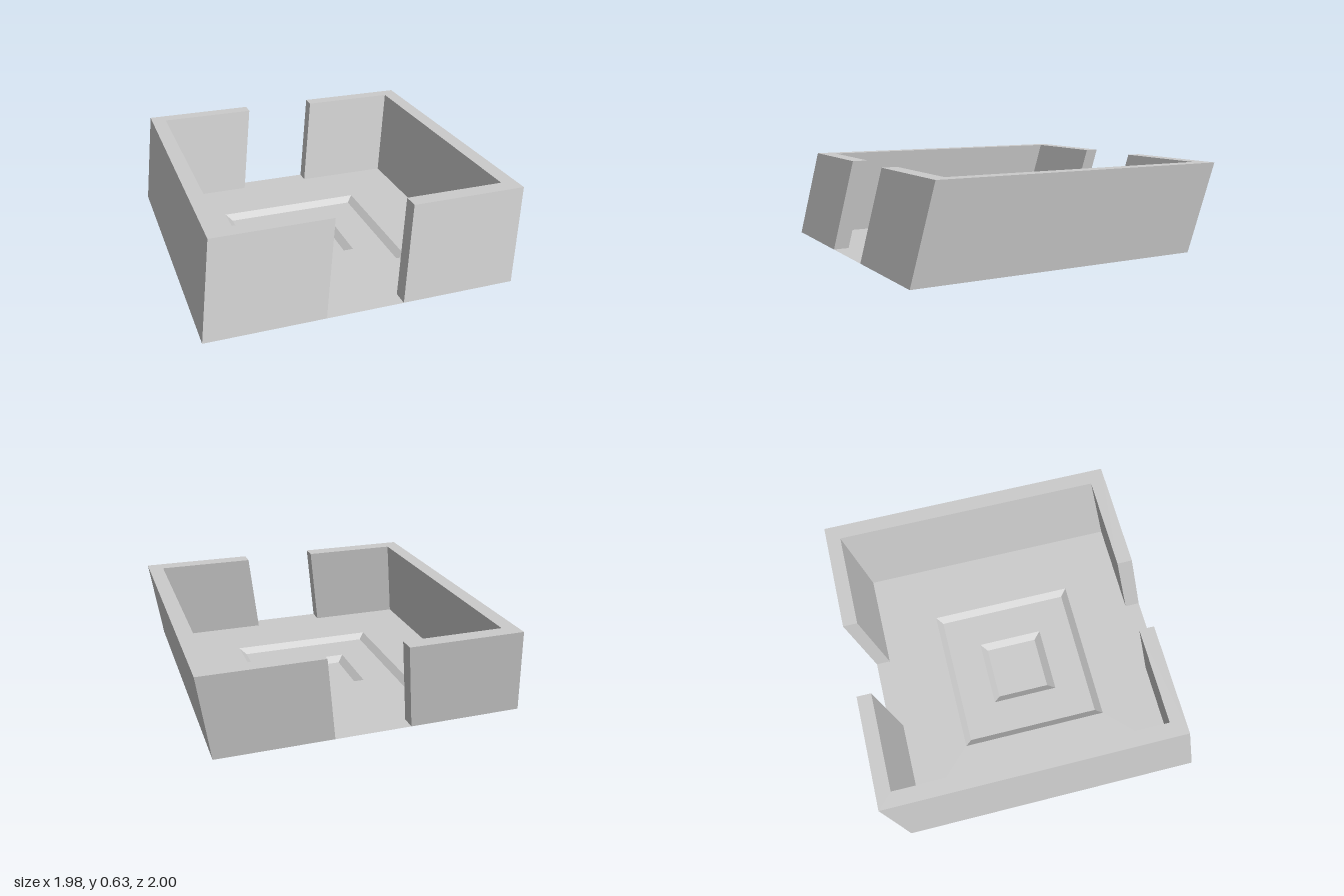
import * as THREE from 'three';
import { mergeGeometries } from 'three/addons/utils/BufferGeometryUtils.js';

const FLOOR = 0.07, STEP = 0.035, TOP = 0.635;
const LEAN = [0.087, -0.11]; // x, z offset of the wall tops
const material = new THREE.MeshStandardMaterial({ color: 0xcccccc, flatShading: true, side: THREE.DoubleSide });

// Loops are [x, z] corners, counter-clockwise seen from above
const rect = (x0, x1, z0, z1) => [[x0, z1], [x1, z1], [x1, z0], [x0, z0]];
const path = (pts) => pts.map(([x, z]) => new THREE.Vector2(x, -z));

// Level face, optionally with a hole
function level(pts, y, hole) {
  const shape = new THREE.Shape(path(pts));
  if (hole) shape.holes.push(new THREE.Path(path(hole)));
  const g = new THREE.ShapeGeometry(shape).rotateX(-Math.PI / 2).translate(0, y, 0).toNonIndexed();
  g.deleteAttribute('uv');
  return g;
}

// Band of quads joining two matching loops
function band(a, ya, b, yb) {
  const pos = [];
  a.forEach((p, i) => {
    const j = (i + 1) % a.length;
    const A = [p[0], ya, p[1]], B = [a[j][0], ya, a[j][1]];
    const C = [b[j][0], yb, b[j][1]], D = [b[i][0], yb, b[i][1]];
    pos.push(...A, ...B, ...C, ...A, ...C, ...D);
  });
  const g = new THREE.BufferGeometry();
  g.setAttribute('position', new THREE.Float32BufferAttribute(pos, 3));
  g.computeVertexNormals();
  return g;
}

export function createModel() {
  const model = new THREE.Group();
  model.name = 'openTray';
  const add = (name, ...parts) => {
    const mesh = new THREE.Mesh(mergeGeometries(parts), material);
    mesh.name = name;
    model.add(mesh);
  };

  // Footprint at floor level: outer and inner wall faces, and the doorway
  const xo = [-0.99, 0.898], xi = [-0.897, 0.804];
  const zo = [-0.89, 1.0], zi = [-0.8, 0.903], gap = [-0.282, 0.19];

  // Two leaning C-shaped walls, hollow and open underneath
  ['rightWall', 'leftWall'].forEach((name, s) => {
    let foot = [
      [gap[s], zo[1]], [gap[s], zi[1]], [xi[s], zi[1]], [xi[s], zi[0]],
      [gap[s], zi[0]], [gap[s], zo[0]], [xo[s], zo[0]], [xo[s], zo[1]],
    ];
    if (THREE.ShapeUtils.isClockWise(path(foot))) foot = foot.reverse();
    const head = foot.map(([x, z]) => [x + LEAN[0], z + LEAN[1]]);
    add(name, band(foot, FLOOR, head, TOP), level(head, TOP));
  });

  // Floor reaching out through both doorways, with a stepped square recess
  const outline = [
    [xi[0], zi[1]], [gap[0], zi[1]], [gap[0], zo[1]], [gap[1], zo[1]], [gap[1], zi[1]], [xi[1], zi[1]],
    [xi[1], zi[0]], [gap[1], zi[0]], [gap[1], zo[0]], [gap[0], zo[0]], [gap[0], zi[0]], [xi[0], zi[0]],
  ];
  const rim1 = rect(-0.52, 0.427, -0.42, 0.525), base1 = rect(-0.48, 0.386, -0.38, 0.485);
  const rim2 = rect(-0.262, 0.168, -0.162, 0.266), base2 = rect(-0.22, 0.126, -0.12, 0.22);
  add('floor', level(outline, FLOOR, rim1));
  add('upperRecess', band(rim1, FLOOR, base1, STEP), level(base1, STEP, rim2));
  add('lowerRecess', band(rim2, STEP, base2, 0), level(base2, 0));

  return model;
}
